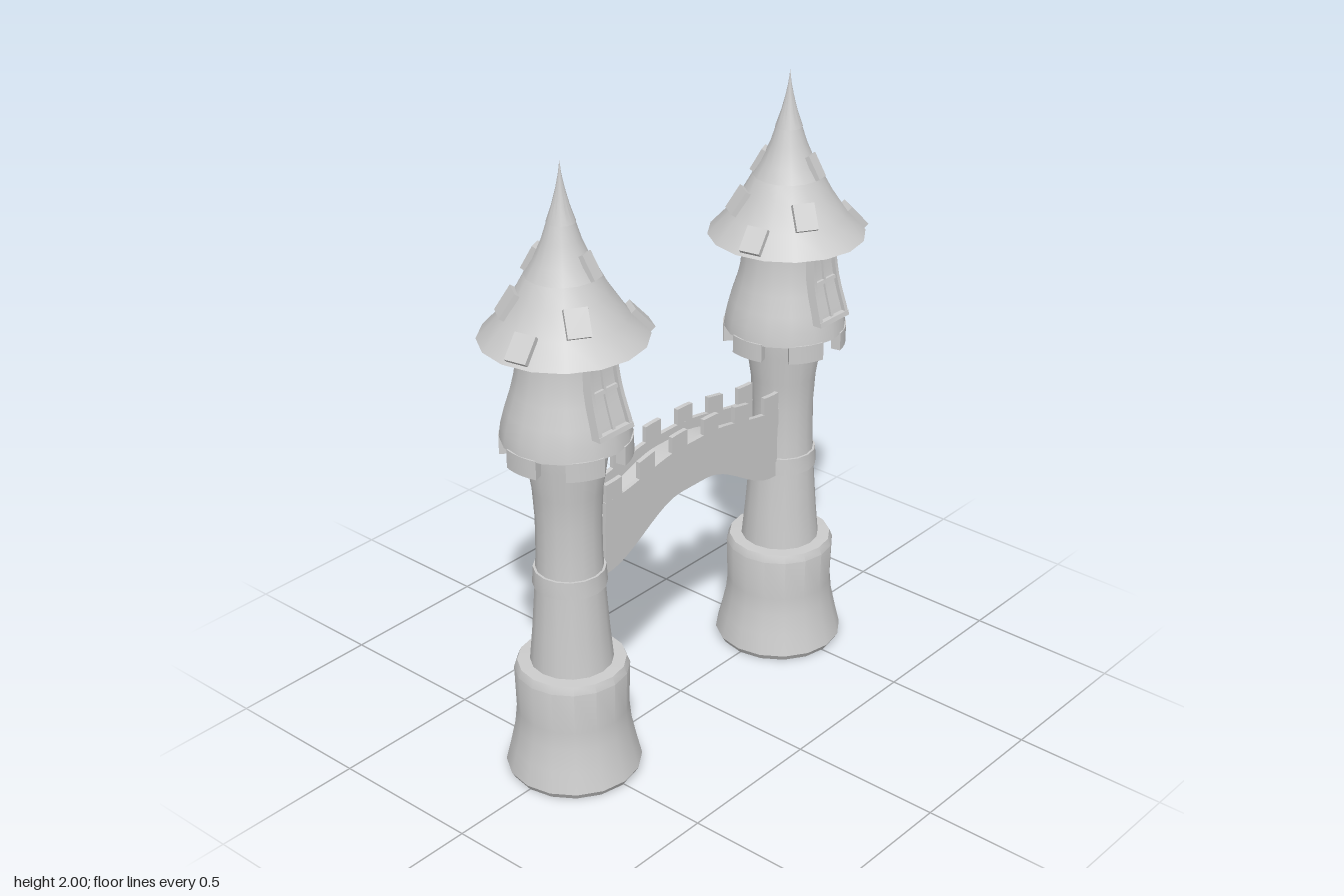
import * as THREE from 'three';
import { toCreasedNormals } from 'three/addons/utils/BufferGeometryUtils.js';

const mat = new THREE.MeshStandardMaterial({ color: 0xcccccc, side: THREE.DoubleSide });
const SIDES = 16;
const lerp = THREE.MathUtils.lerp;

function add(parent, name, geo, crease = 0.6) {
  const mesh = new THREE.Mesh(toCreasedNormals(geo, crease), mat);
  mesh.name = name;
  parent.add(mesh);
  return mesh;
}

function turned(parent, name, profile) {
  const pts = profile.map(([r, y]) => new THREE.Vector2(r, y));
  return add(parent, name, new THREE.LatheGeometry(pts, SIDES), 0.5);
}

// Linear lookup in a list of [key, value] pairs with rising keys
function lookup(pairs, k) {
  for (let i = 1; i < pairs.length; i++) {
    const [k0, v0] = pairs[i - 1], [k1, v1] = pairs[i];
    if (k <= k1 || i === pairs.length - 1) return lerp(v0, v1, (k - k0) / (k1 - k0));
  }
}

// Profiles as [radius, height]
const lowerRoof = [[0.25, 1.47], [0.19, 1.535], [0.14, 1.61], [0.11, 1.665]];
const upperRoof = [[0.118, 1.65], [0.085, 1.705], [0.057, 1.77], [0.038, 1.83]];
const chamber = [[0.196, 1.155], [0.19, 1.2], [0.177, 1.25], [0.158, 1.31], [0.146, 1.36], [0.139, 1.42], [0.136, 1.49]];

// Loose slab lying on a roof slope; dx, dz give its place in plan
function shingle(parent, roof, dx, dz, w, l) {
  const heights = [...roof].reverse();
  const r = Math.hypot(dx, dz);
  const slope = (lookup(heights, r - 0.01) - lookup(heights, r + 0.01)) / 0.02;
  const arm = new THREE.Group();
  arm.name = 'shingleMount';
  arm.rotation.y = Math.atan2(dx, dz);
  const slab = add(arm, 'shingle', new THREE.BoxGeometry(w, 0.022, l));
  slab.position.set(0, lookup(heights, r) + 0.005, r);
  slab.rotation.x = Math.atan(slope);
  parent.add(arm);
}

// Window bar bent to follow the chamber wall; u runs -1..1 across the tapered window
function windowBar(parent, name, u0, u1, y0, y1, out) {
  const geo = new THREE.BoxGeometry(1, 1, 1, 1, 8, 1);
  const radii = chamber.map(([r, y]) => [y, r]);
  const p = geo.attributes.position;
  for (let i = 0; i < p.count; i++) {
    const y = lerp(y0, y1, p.getY(i) + 0.5);
    const half = lerp(0.072, 0.054, (y - 1.22) / 0.26);
    const z = lookup(radii, y) + (p.getZ(i) > 0 ? out : -0.04);
    p.setXYZ(i, lerp(u0, u1, p.getX(i) + 0.5) * half, y, z);
  }
  add(parent, name, geo);
}

function makeTower() {
  const tower = new THREE.Group();
  tower.name = 'tower';
  turned(tower, 'base', [[0, 0], [0.2, 0], [0.212, 0.02], [0.195, 0.09], [0.18, 0.16], [0.174, 0.22],
    [0.178, 0.36], [0.168, 0.385], [0.12, 0.387]]);
  turned(tower, 'shaft', [[0.13, 0.37], [0.118, 0.5], [0.107, 0.65], [0.101, 0.76], [0.1, 0.88],
    [0.106, 0.98], [0.122, 1.08], [0.128, 1.17]]);
  turned(tower, 'shaftBand', [[0.1, 0.657], [0.114, 0.657], [0.111, 0.714], [0.098, 0.714]]);
  turned(tower, 'chamber', [[0.12, 1.158], ...chamber]);

  // Hanging teeth around the chamber's lower rim
  for (let i = 0; i < 6; i++) {
    const mid = i * Math.PI / 3, half = 0.3;
    const arc = new THREE.Shape();
    arc.absarc(0, 0, 0.197, mid - half, mid + half, false);
    arc.absarc(0, 0, 0.165, mid + half, mid - half, true);
    const tooth = add(tower, 'rimTooth',
      new THREE.ExtrudeGeometry(arc, { depth: 0.06, bevelEnabled: false, curveSegments: 4 }));
    tooth.rotation.x = -Math.PI / 2;
    tooth.position.y = 1.1;
  }

  // Front window
  const win = new THREE.Group();
  win.name = 'window';
  tower.add(win);
  windowBar(win, 'windowPane', -0.9, 0.9, 1.23, 1.48, 0.002);
  for (const s of [-1, 1]) windowBar(win, 'windowStile', s * 0.8, s, 1.22, 1.48, 0.016);
  windowBar(win, 'windowSill', -1, 1, 1.22, 1.235, 0.018);
  windowBar(win, 'windowMullion', -0.07, 0.07, 1.225, 1.48, 0.01);
  windowBar(win, 'windowCrossbar', -0.85, 0.85, 1.34, 1.352, 0.01);

  // Three-tier roof
  turned(tower, 'lowerRoof', [[0.12, 1.472], ...lowerRoof]);
  turned(tower, 'upperRoof', [[0.1, 1.652], ...upperRoof]);
  turned(tower, 'spire', [[0.034, 1.82], [0.043, 1.82], [0.026, 1.87], [0.013, 1.92], [0.005, 1.96], [0, 2]]);
  for (const [dx, dz] of [[0.045, -0.21], [-0.21, 0.04], [0.19, 0.12], [-0.13, -0.09], [0.13, -0.09], [-0.088, 0.138]])
    shingle(tower, lowerRoof, dx, dz, 0.07, 0.085);
  for (const [dx, dz] of [[-0.035, -0.082], [0.02, 0.088]])
    shingle(tower, upperRoof, dx, dz, 0.045, 0.08);
  return tower;
}

// Humped height line running from the bridge ends to its middle
const hump = (end, mid) => x => lerp(end, mid, THREE.MathUtils.smoothstep(0.4 - Math.abs(x), 0, 0.34));

// Slab between two height lines, from x0 to x1 and z0 to z1
function bridgeSlab(parent, name, low, high, x0, x1, z0, z1, n) {
  const shape = new THREE.Shape();
  for (let i = 0; i <= n; i++) {
    const x = lerp(x0, x1, i / n);
    if (i) shape.lineTo(x, low(x)); else shape.moveTo(x, low(x));
  }
  for (let i = n; i >= 0; i--) {
    const x = lerp(x0, x1, i / n);
    shape.lineTo(x, high(x));
  }
  add(parent, name, new THREE.ExtrudeGeometry(shape, { depth: z1 - z0, bevelEnabled: false })).position.z = z0;
}

function makeBridge() {
  const bridge = new THREE.Group();
  bridge.name = 'bridge';
  const under = hump(0.655, 0.792), ledge = hump(0.71, 0.842), deck = hump(0.835, 0.92);
  const wall = hump(0.903, 0.953), crest = hump(0.962, 1.006);
  bridgeSlab(bridge, 'bridgeArch', under, ledge, -0.41, 0.41, -0.054, 0.054, 28);
  bridgeSlab(bridge, 'bridgeDeck', ledge, deck, -0.41, 0.41, -0.058, 0.058, 28);
  for (const s of [-1, 1]) {
    const z0 = s > 0 ? 0.046 : -0.061, z1 = z0 + 0.015;
    bridgeSlab(bridge, 'parapet', deck, wall, -0.41, 0.41, z0, z1, 28);
    for (let i = 0; i < 6; i++) {
      const x = (i - 2.5) * 0.149;
      bridgeSlab(bridge, 'merlon', wall, crest, x - 0.035, x + 0.035, z0, z1, 3);
    }
  }
  return bridge;
}

export function createModel() {
  const model = new THREE.Group();
  model.name = 'twinTowerGate';
  for (const x of [-0.508, 0.508]) {
    const tower = makeTower();
    tower.position.x = x;
    model.add(tower);
  }
  model.add(makeBridge());
  return model;
}
